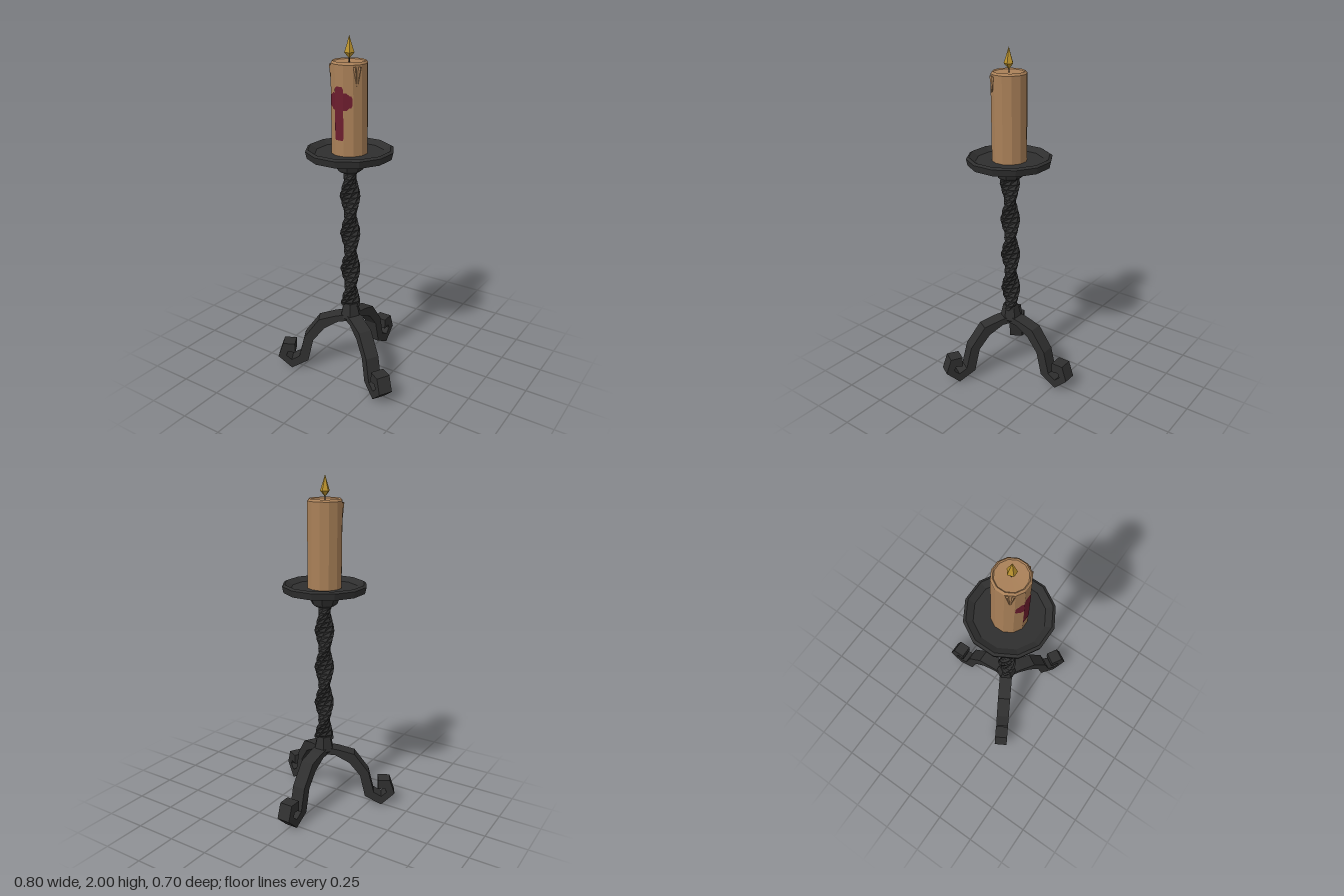
import * as THREE from 'three';

const flat = (name, color) => {
  const m = new THREE.MeshStandardMaterial({ color, flatShading: true });
  m.name = name;
  return m;
};

export function createModel() {
  const iron = flat('blackIron', 0x2f2f2f);
  const wax = flat('tanWax', 0xa98058);
  const red = flat('darkRed', 0x6c1d2e);
  const gold = flat('flameGold', 0xba922e);

  const model = new THREE.Group();
  model.name = 'candleStand';
  const stand = new THREE.Group();
  stand.name = 'stand';
  stand.position.z = 0.093; // the tripod reaches further back than forward
  model.add(stand);

  const add = (name, geometry, material, parent = stand) => {
    const mesh = new THREE.Mesh(geometry, material);
    mesh.name = name;
    parent.add(mesh);
    return mesh;
  };
  const points = (list) => list.map(([x, y]) => new THREE.Vector2(x, y));
  const lathe = (name, profile, sides, material, turn = Math.PI / sides) =>
    add(name, new THREE.LatheGeometry(points(profile), sides).rotateY(turn), material);

  // Three legs with curled feet: side outline (radius, height) extruded to the leg width
  const legShape = new THREE.Shape(points([
    [0, 0.385], [0.09, 0.37], [0.188, 0.342], [0.278, 0.22], [0.312, 0.085],
    [0.36, 0.058], [0.392, 0.088], [0.38, 0.115], [0.337, 0.108], [0.337, 0.17],
    [0.41, 0.17], [0.441, 0.08], [0.36, 0.002], [0.258, 0.058], [0.225, 0.2],
    [0.157, 0.285], [0.07, 0.335], [0, 0.34],
  ]));
  const legGeometry = new THREE.ExtrudeGeometry(legShape, { depth: 0.08, bevelEnabled: false });
  legGeometry.translate(0, 0, -0.04);
  for (const [name, degrees] of [['backLeg', 90], ['leftLeg', -30], ['rightLeg', 210]]) {
    add(name, legGeometry, iron).rotation.y = THREE.MathUtils.degToRad(degrees);
  }

  // Collar where the legs meet
  lathe('collar', [[0, 0.31], [0.045, 0.34], [0.066, 0.36], [0.045, 0.45], [0, 0.45]], 6, iron);

  // Twisted stem: an oval section turning with height
  const stemGeometry = new THREE.CylinderGeometry(1, 1, 0.86, 8, 30).translate(0, 0.86, 0);
  const p = stemGeometry.attributes.position;
  const v = new THREE.Vector3();
  const up = new THREE.Vector3(0, 1, 0);
  for (let i = 0; i < p.count; i++) {
    v.fromBufferAttribute(p, i);
    v.x *= 0.036;
    v.z *= 0.058;
    v.applyAxisAngle(up, Math.PI * (v.y - 0.74) / 0.225);
    p.setXYZ(i, v.x, v.y, v.z);
  }
  add('twistedStem', stemGeometry, iron);

  // Cup and drip plate
  lathe('cup', [[0, 1.265], [0.055, 1.265], [0.075, 1.28], [0.1, 1.35], [0, 1.35]], 8, iron);
  lathe('dripPlate', [
    [0, 1.342], [0.1, 1.342], [0.238, 1.352], [0.246, 1.39], [0.231, 1.4],
    [0.193, 1.375], [0, 1.375],
  ], 12, iron);

  // Candle, wick and flame
  lathe('candle', [[0.1, 1.37], [0.1, 1.86], [0.09, 1.872], [0.084, 1.866], [0, 1.862]], 12, wax);
  add('wick', new THREE.CylinderGeometry(0.004, 0.004, 0.04, 5).translate(0, 1.875, 0), iron);
  lathe('flame', [[0, 1.88], [0.028, 1.912], [0.012, 1.96], [0, 2]], 5, gold, Math.PI);

  // Wax drips, a narrow V on each side near the top
  for (const side of [1, -1]) {
    const drips = new THREE.Group();
    drips.name = side > 0 ? 'leftDrips' : 'rightDrips';
    drips.rotation.y = side * 1.02;
    stand.add(drips);
    for (const lean of [1, -1]) {
      const drip = add('drip', new THREE.ConeGeometry(0.009, 0.1, 4), wax, drips);
      drip.position.set(lean * 0.009, 1.8, 0.097);
      drip.rotation.z = Math.PI - lean * 0.12;
    }
  }

  // Painted cross: upright on the front facet, arms on the facets beside it
  const plate = (name, outline, turn) => {
    const g = new THREE.ShapeGeometry(new THREE.Shape(points(outline)));
    return add(name, g.translate(0, 0, 0.0985).rotateY(turn), red);
  };
  plate('crossUpright', [
    [-0.022, 1.462], [0.022, 1.462], [0.026, 1.475], [0.026, 1.735], [0.018, 1.748],
    [-0.018, 1.748], [-0.026, 1.735], [-0.026, 1.475],
  ], 0);
  const arm = [
    [-0.027, 1.625], [-0.008, 1.625], [0.006, 1.638], [0.016, 1.638], [0.023, 1.655],
    [0.023, 1.685], [0.016, 1.702], [0.006, 1.702], [-0.008, 1.715], [-0.027, 1.715],
  ];
  plate('crossLeftArm', arm, Math.PI / 6);
  plate('crossRightArm', arm.map(([x, y]) => [-x, y]).reverse(), -Math.PI / 6);

  return model;
}
